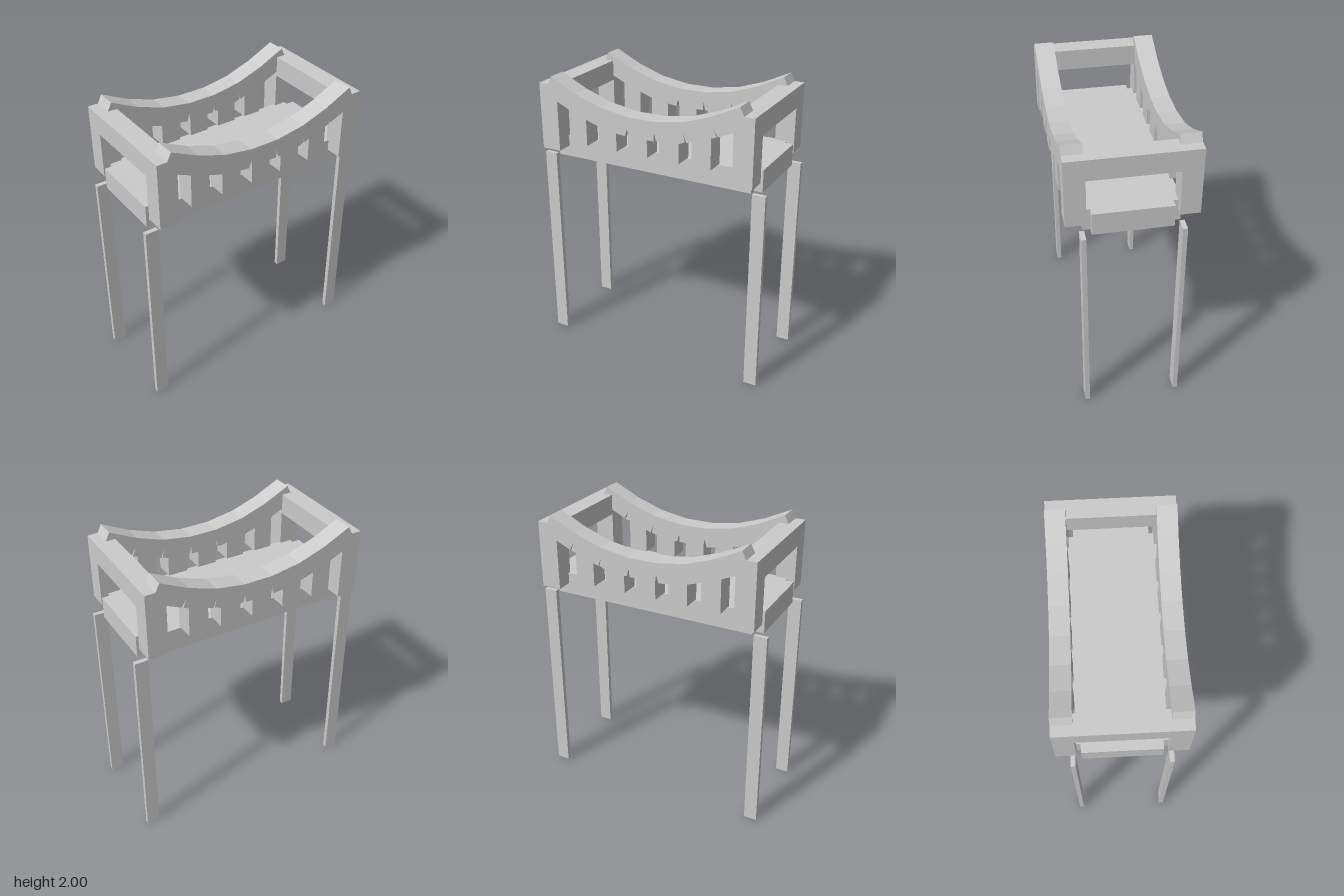
import * as THREE from 'three';

const material = new THREE.MeshStandardMaterial({ color: 0xcccccc, flatShading: true });

function makeShape(points) {
  return new THREE.Shape(points.map(([x, y]) => new THREE.Vector2(x, y)));
}

function extrude(points, depth) {
  return new THREE.ExtrudeGeometry(makeShape(points), { depth, bevelEnabled: false });
}

function addMesh(parent, name, geometry, x = 0, y = 0, z = 0) {
  const mesh = new THREE.Mesh(geometry, material);
  mesh.name = name;
  mesh.position.set(x, y, z);
  parent.add(mesh);
  return mesh;
}

export function createModel() {
  const group = new THREE.Group();
  group.name = 'raisedBed';

  const deckBottom = 1.415, deckTop = 1.565, postBottom = 1.49, beamTop = 1.945;
  const endX = 0.77, postInner = 0.635;
  const railInner = 0.285, railDepth = 0.131;

  // Deck slab with a square notch at each corner
  const dx = 0.775, nx = 0.718, dz = 0.305, nz = 0.255;
  const deck = extrude([
    [nx, -dz], [nx, -nz], [dx, -nz], [dx, nz], [nx, nz], [nx, dz],
    [-nx, dz], [-nx, nz], [-dx, nz], [-dx, -nz], [-nx, -nz], [-nx, -dz],
  ], deckTop - deckBottom);
  deck.rotateX(-Math.PI / 2);
  addMesh(group, 'deck', deck, 0, deckBottom, 0);

  // Sagging top edge of a side rail, right half, from the middle outwards
  const crest = [[0.1, 1.815], [0.3, 1.847], [0.485, 1.91], [0.672, 2.0], [0.7, beamTop]];

  // Top edges of the gaps between the balusters, with small cracks
  const gaps = [
    [[-postInner, 1.835], [-0.545, 1.795]],
    [[-0.412, 1.745], [-0.318, 1.715]],
    [[-0.185, 1.692], [-0.118, 1.682], [-0.102, 1.74], [-0.095, 1.685]],
    [[0.042, 1.685], [0.09, 1.685], [0.095, 1.742], [0.108, 1.69], [0.13, 1.685]],
    [[0.27, 1.7], [0.312, 1.718], [0.298, 1.775], [0.322, 1.715], [0.358, 1.73]],
    [[0.49, 1.775], [0.525, 1.785], [0.502, 1.84], [0.535, 1.79], [postInner, 1.835]],
  ];

  // Underside: posts reach lower than the balusters
  const underside = [[-endX, postBottom]];
  gaps.forEach((gap, i) => {
    const startY = i === 0 ? postBottom : deckTop;
    const endY = i === gaps.length - 1 ? postBottom : deckTop;
    underside.push([gap[0][0], startY], ...gap, [gap[gap.length - 1][0], endY]);
  });
  underside.push([endX, postBottom]);

  const railOutline = [
    ...underside,
    [endX, beamTop],
    ...crest.slice().reverse(),
    ...crest.map(([x, y]) => [-x, y]),
    [-endX, beamTop],
  ];
  const rail = extrude(railOutline, railDepth);
  addMesh(group, 'frontRail', rail, 0, 0, railInner);
  addMesh(group, 'backRail', rail, 0, 0, -railInner - railDepth);

  // Beams joining the rails at both ends
  const beam = new THREE.BoxGeometry(endX - postInner, beamTop - 1.803, railInner * 2);
  const leg = new THREE.BoxGeometry(0.09, 1.42, 0.031);
  for (const sx of [1, -1]) {
    const side = sx > 0 ? 'left' : 'right';
    addMesh(group, side + 'EndBeam', beam, sx * (endX + postInner) / 2, (beamTop + 1.803) / 2, 0);

    // Thin flat legs at the corners
    for (const sz of [1, -1]) {
      addMesh(group, side + (sz > 0 ? 'Front' : 'Back') + 'Leg', leg, sx * 0.779, 0.71, sz * 0.311);
    }
  }

  return group;
}
